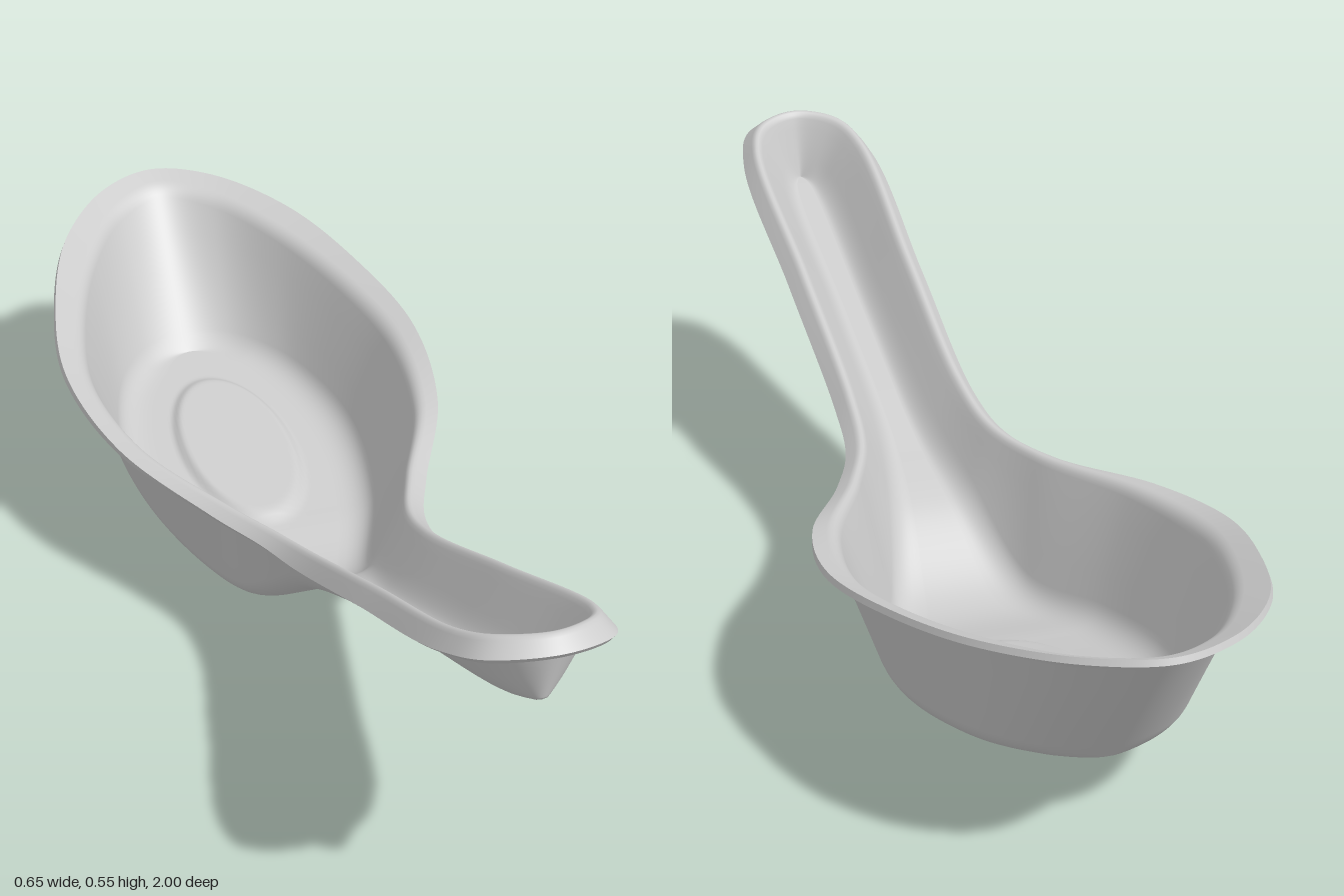
import * as THREE from 'three';
import { mergeVertices } from 'three/addons/utils/BufferGeometryUtils.js';

const THICK = 0.01, STATIONS = 180, FLOOR_STEPS = 26;

// Half outlines [x, y, z] from the bowl tip to the handle end
const RIM = [[0, .405, -1], [.105, .398, -.955], [.215, .373, -.82], [.288, .335, -.62], [.32, .3, -.42],
  [.285, .263, -.2], [.19, .234, 0], [.142, .236, .12], [.125, .262, .25], [.125, .375, .55],
  [.125, .497, .87], [.09, .533, .965], [0, .545, 1]];
const CREST = [[0, .385, -.955], [.09, .373, -.905], [.175, .348, -.78], [.245, .315, -.6], [.277, .287, -.42],
  [.245, .264, -.2], [.155, .252, 0], [.112, .262, .12], [.098, .297, .25], [.098, .412, .55],
  [.098, .535, .87], [.068, .56, .935], [0, .57, .965]];
const FLOOR = [[0, .13, -.76], [.08, .126, -.735], [.147, .113, -.66], [.187, .094, -.55], [.2, .073, -.43],
  [.175, .042, -.25], [.112, .024, -.08], [.06, .132, .1], [.035, .192, .25], [.03, .305, .55],
  [.03, .42, .87], [.02, .437, .915], [0, .443, .935]];

// Closed symmetric curve, so both tips are rounded
function outline(half) {
  const left = half.map(p => new THREE.Vector3(...p));
  const right = half.slice(1, -1).reverse().map(([x, y, z]) => new THREE.Vector3(-x, y, z));
  return new THREE.CatmullRomCurve3([...left, ...right], true);
}

// Point at a given distance from a towards b, kept within part of the way
const towards = (a, b, d) => {
  const len = a.distanceTo(b);
  return len < 1e-6 ? a.clone() : a.clone().lerp(b, Math.min(d / len, 0.45));
};

// Half cross-section: rim edge, rounded crest, wall, rounded floor corner, centre
function halfSection(rim, crest, floor) {
  const centre = new THREE.Vector3(0, floor.y, floor.z);
  const crestOut = towards(crest, rim, 0.018), crestIn = towards(crest, floor, 0.02);
  const cornerUp = towards(floor, crest, 0.04), cornerIn = towards(floor, centre, 0.05);
  const pts = [rim];
  pts.push(...new THREE.QuadraticBezierCurve3(crestOut, crest, crestIn).getPoints(5));
  for (const t of [0.25, 0.5, 0.75]) pts.push(crestIn.clone().lerp(cornerUp, t));
  pts.push(...new THREE.QuadraticBezierCurve3(cornerUp, floor, cornerIn).getPoints(8));
  for (let i = 1; i <= FLOOR_STEPS; i++) pts.push(cornerIn.clone().lerp(centre, i / FLOOR_STEPS));
  return pts;
}

// Oval panel pressed up into the bowl floor
function panelLift(p) {
  const r = Math.hypot(p.x / 0.105, (p.z + 0.46) / 0.21);
  return 0.012 * (1 - THREE.MathUtils.smoothstep(r, 0.88, 1.04));
}

function buildInner() {
  const curves = [RIM, CREST, FLOOR].map(outline);
  const pos = [], index = [];
  let cols = 0;
  for (let j = 0; j <= STATIONS; j++) {
    const half = halfSection(...curves.map(c => {
      const p = c.getPoint(j / STATIONS / 2);
      if (j === 0 || j === STATIONS) p.x = 0;
      return p;
    }));
    const mirrored = half.slice(0, -1).reverse().map(p => new THREE.Vector3(-p.x, p.y, p.z));
    const row = [...half, ...mirrored];
    cols = row.length;
    row.forEach((p, k) => {
      const onFloor = k > 14 && k < cols - 15;
      pos.push(p.x, p.y + (onFloor ? panelLift(p) : 0), p.z);
    });
  }
  for (let j = 0; j < STATIONS; j++) {
    for (let k = 0; k < cols - 1; k++) {
      const a = j * cols + k, b = a + cols;
      index.push(a, a + 1, b, b, a + 1, b + 1);
    }
  }
  let g = new THREE.BufferGeometry();
  g.setAttribute('position', new THREE.Float32BufferAttribute(pos, 3));
  g.setIndex(index);
  g = mergeVertices(g, 1e-5);
  // Drop the triangles that collapse at the tips
  const kept = [], ix = g.index.array;
  for (let i = 0; i < ix.length; i += 3) {
    const [a, b, c] = [ix[i], ix[i + 1], ix[i + 2]];
    if (a !== b && b !== c && c !== a) kept.push(a, b, c);
  }
  g.setIndex(kept);
  g.computeVertexNormals();
  return g;
}

// Second skin, moved along the normals and facing the other way
function buildOuter(inner) {
  const g = inner.clone();
  const p = g.attributes.position, n = g.attributes.normal;
  for (let i = 0; i < p.count; i++) {
    p.setXYZ(i, p.getX(i) - n.getX(i) * THICK, p.getY(i) - n.getY(i) * THICK, p.getZ(i) - n.getZ(i) * THICK);
  }
  g.setIndex(Array.from(inner.index.array).reverse());
  g.computeVertexNormals();
  return g;
}

// Band joining the open borders of the two skins
function buildEdge(inner, outer) {
  const ix = inner.index.array, edges = new Map();
  for (let i = 0; i < ix.length; i += 3) {
    for (let e = 0; e < 3; e++) {
      const a = ix[i + e], b = ix[i + (e + 1) % 3];
      edges.set(a + '_' + b, [a, b]);
    }
  }
  const pos = [], at = (g, i) => new THREE.Vector3().fromBufferAttribute(g.attributes.position, i).toArray();
  for (const [a, b] of edges.values()) {
    if (edges.has(b + '_' + a)) continue;
    const [ia, ib, oa, ob] = [at(inner, a), at(inner, b), at(outer, a), at(outer, b)];
    pos.push(...ib, ...ia, ...oa, ...ib, ...oa, ...ob);
  }
  let g = new THREE.BufferGeometry();
  g.setAttribute('position', new THREE.Float32BufferAttribute(pos, 3));
  g = mergeVertices(g, 1e-5);
  g.computeVertexNormals();
  return g;
}

export function createModel() {
  const group = new THREE.Group();
  group.name = 'soupSpoon';
  const material = new THREE.MeshStandardMaterial({ color: 0xcccccc, side: THREE.DoubleSide });
  const inner = buildInner(), outer = buildOuter(inner), edge = buildEdge(inner, outer);
  for (const [name, geometry] of [['innerSurface', inner], ['outerSurface', outer], ['rimEdge', edge]]) {
    const mesh = new THREE.Mesh(geometry, material);
    mesh.name = name;
    group.add(mesh);
  }
  // Rest the lowest point on the ground
  group.position.y = -new THREE.Box3().setFromObject(group).min.y;
  return group;
}
